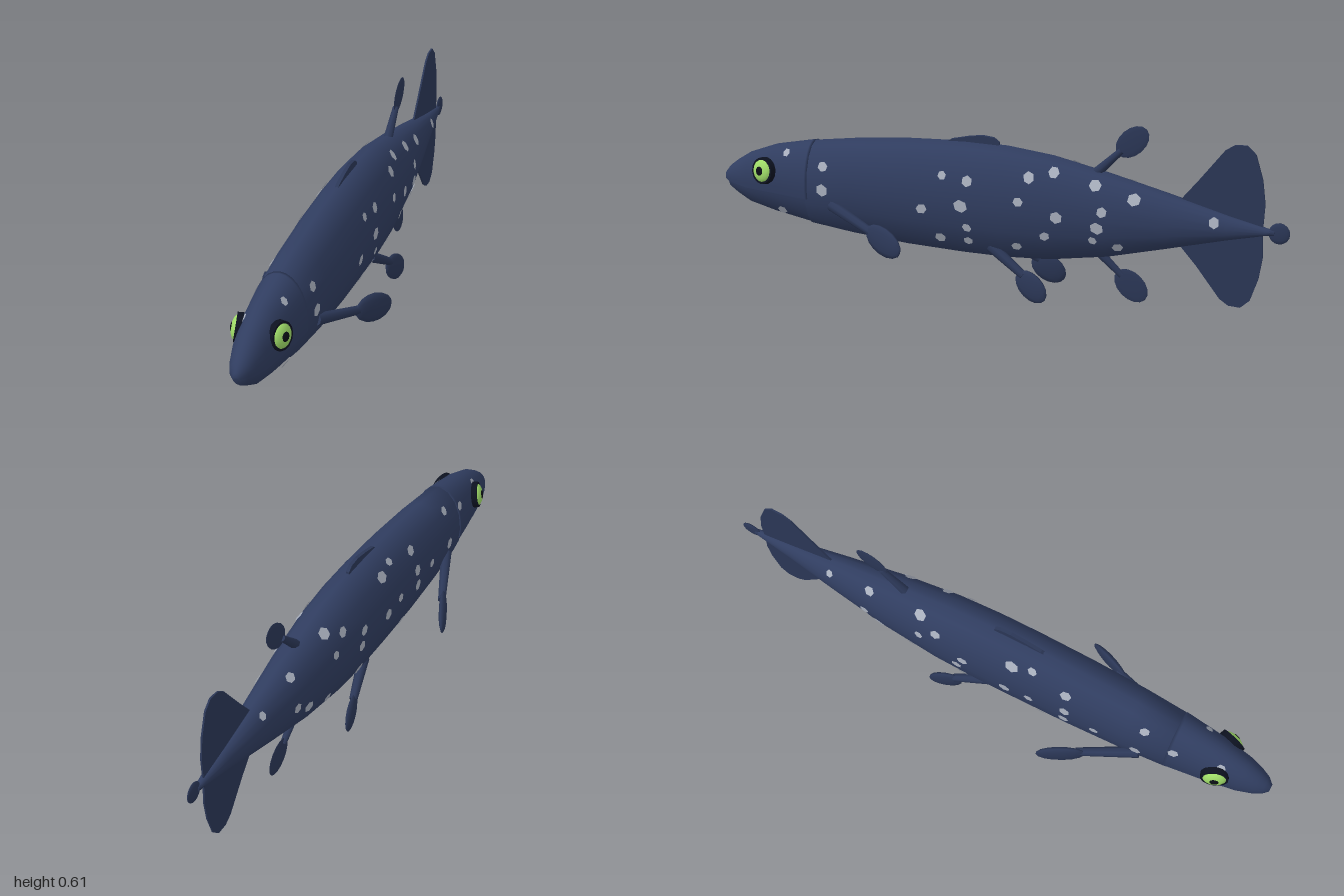
import * as THREE from 'three';

const mat = (color, side = THREE.FrontSide) => new THREE.MeshStandardMaterial({ color, side, roughness: 0.8 });
const SKIN = mat(0x303d60, THREE.DoubleSide);
const FIN = mat(0x2b3757, THREE.DoubleSide);
const SPOT = mat(0xa9b0be, THREE.DoubleSide);
const RIM = mat(0x0d1220);
const IRIS = mat(0x9fdc68);
const PUPIL = mat(0x0a0d14);

// Body stations: z, top y, bottom y, half width
const STATIONS = [
  [1.0, 0.31, 0.275, 0.012], [0.98, 0.335, 0.255, 0.03], [0.95, 0.358, 0.235, 0.043], [0.9, 0.39, 0.207, 0.057],
  [0.8, 0.428, 0.182, 0.073], [0.66, 0.457, 0.157, 0.088], [0.5, 0.48, 0.138, 0.098], [0.3, 0.5, 0.122, 0.104],
  [0.1, 0.51, 0.116, 0.106], [-0.05, 0.508, 0.116, 0.106], [-0.2, 0.492, 0.126, 0.102], [-0.4, 0.45, 0.16, 0.086],
  [-0.6, 0.402, 0.212, 0.06], [-0.8, 0.35, 0.266, 0.031], [-0.92, 0.322, 0.295, 0.014], [-0.95, 0.315, 0.3, 0.008],
];
const SIDES = 16;

function section(z) {
  let k = 0;
  while (k < STATIONS.length - 2 && z < STATIONS[k + 1][0]) k++;
  const [a, b] = [STATIONS[k], STATIONS[k + 1]];
  const t = (z - a[0]) / (b[0] - a[0]);
  const [top, bot, w] = [1, 2, 3].map(i => a[i] + (b[i] - a[i]) * t);
  return { c: (top + bot) / 2, h: (top - bot) / 2, w };
}

// Skin of elliptical sections from angle a0 to a1
function loft(zs, a0, a1, sx = 1, sy = 1) {
  const pos = [], idx = [], n = SIDES, row = n + 1;
  zs.forEach((z, k) => {
    const s = section(z);
    for (let i = 0; i <= n; i++) {
      const a = a0 + (a1 - a0) * i / n;
      pos.push(Math.cos(a) * s.w * sx, s.c + Math.sin(a) * s.h * sy, z);
      if (k && i < n) {
        const p = (k - 1) * row + i, q = p + row;
        idx.push(p, q, p + 1, p + 1, q, q + 1);
      }
    }
  });
  // end caps
  for (const k of [0, zs.length - 1]) {
    const c = pos.length / 3;
    pos.push(0, section(zs[k]).c, zs[k]);
    for (let i = 0; i < n; i++) {
      const p = k * row + i;
      k ? idx.push(c, p + 1, p) : idx.push(c, p, p + 1);
    }
  }
  const g = new THREE.BufferGeometry();
  g.setAttribute('position', new THREE.Float32BufferAttribute(pos, 3));
  g.setIndex(idx);
  g.computeVertexNormals();
  return g;
}

function add(parent, name, geometry, material) {
  const m = new THREE.Mesh(geometry, material);
  m.name = name;
  parent.add(m);
  return m;
}

// Fleshy fin: tapered stalk from root to tip, then a flattened paddle
function lobedFin(parent, name, root, tip, centre, size, r0, r1, flat) {
  const g = new THREE.Group();
  g.name = name;
  const [a, b, c] = [root, tip, centre].map(p => new THREE.Vector3(...p));
  const dir = b.clone().sub(a);
  const stalk = add(g, 'finStalk', new THREE.CylinderGeometry(r1, r0, dir.length(), 8), FIN);
  stalk.position.copy(a).add(b).multiplyScalar(0.5);
  stalk.quaternion.setFromUnitVectors(new THREE.Vector3(0, 1, 0), dir.clone().normalize());
  const paddle = add(g, 'finPaddle', new THREE.SphereGeometry(1, 10, 8), FIN);
  const along = c.clone().sub(a).normalize();
  const normal = new THREE.Vector3(...flat);
  normal.addScaledVector(along, -normal.dot(along)).normalize();
  paddle.quaternion.setFromRotationMatrix(
    new THREE.Matrix4().makeBasis(normal, along, normal.clone().cross(along)));
  paddle.scale.set(...size);
  paddle.position.copy(c);
  parent.add(g);
}

// Thin fin on the centre plane, outline given as [z, y]
function flatFin(parent, name, pts, depth) {
  const shape = new THREE.Shape(pts.map(([z, y]) => new THREE.Vector2(-z, y)));
  const g = new THREE.ExtrudeGeometry(shape, { depth, bevelEnabled: false });
  g.translate(0, 0, -depth / 2).rotateY(Math.PI / 2);
  add(parent, name, g, FIN);
}

// Irregular spot lying on the flank
function spot(parent, side, z, y, i) {
  const x = (zz, yy) => {
    const s = section(zz), t = (yy - s.c) / s.h;
    return s.w * Math.sqrt(Math.max(0.03, 1 - t * t));
  };
  const e = 0.004, px = x(z, y);
  const n = new THREE.Vector3(1, (x(z, y - e) - x(z, y + e)) / (2 * e), (x(z - e, y) - x(z + e, y)) / (2 * e));
  n.normalize();
  const m = add(parent, 'spot', new THREE.CircleGeometry(0.016 + 0.006 * ((i * 7) % 5) / 4, 6), SPOT);
  m.position.set(px, y, z).addScaledVector(n, 0.0025);
  m.position.x *= side;
  n.x *= side;
  m.lookAt(m.position.clone().add(n));
  m.rotateZ(i * 1.3);
  m.scale.x = 0.85 + 0.1 * (i % 4);
}

const LEFT_SPOTS = [
  [0.74, 0.415], [0.59, 0.39], [0.59, 0.31], [0.76, 0.21], [0.22, 0.29], [0.15, 0.41], [0.06, 0.4], [0.08, 0.315],
  [0.06, 0.24], [0.16, 0.19], [0.06, 0.19], [-0.15, 0.43], [-0.23, 0.45], [-0.12, 0.35], [-0.25, 0.31], [-0.21, 0.24],
  [-0.11, 0.19], [-0.37, 0.42], [-0.4, 0.34], [-0.385, 0.285], [-0.37, 0.24], [-0.45, 0.22], [-0.5, 0.385], [-0.76, 0.33],
];
const RIGHT_SPOTS = [
  [-0.63, 0.37], [-0.47, 0.41], [-0.27, 0.45], [-0.2, 0.42], [-0.09, 0.36], [-0.26, 0.37], [-0.11, 0.31], [0.08, 0.455],
  [0.15, 0.47], [0.28, 0.44], [0.4, 0.32], [0.29, 0.36], [0.29, 0.3], [0.16, 0.33], [0.07, 0.32], [0.56, 0.43],
  [0.67, 0.39], [0.55, 0.31], [-0.48, 0.305], [-0.42, 0.27], [0.83, 0.39], [0.2, 0.2], [-0.1, 0.2], [-0.3, 0.22],
];

export function createModel() {
  const fish = new THREE.Group();
  fish.name = 'fish';

  // Trunk, upper head and slightly narrower lower jaw
  const zs = STATIONS.map(s => s[0]);
  const full = [-Math.PI / 2, Math.PI * 1.5];
  add(fish, 'body', loft(zs.filter(z => z <= 0.66), ...full), SKIN);
  const headZ = zs.filter(z => z >= 0.66);
  add(fish, 'upperHead', loft([...headZ, 0.65], -0.26, Math.PI + 0.26, 1.01, 1.01), SKIN);
  add(fish, 'lowerJaw', loft([...headZ.slice(1), 0.6], ...full, 0.95, 0.98), SKIN);

  for (const side of [1, -1]) {
    // Bulging eye with dark rim
    const eye = new THREE.Group();
    eye.name = side > 0 ? 'leftEye' : 'rightEye';
    eye.position.set(side * 0.067, 0.348, 0.822);
    eye.lookAt(side * 1.067, 0.348 + 0.18, 0.822 + 0.33);
    const rim = add(eye, 'eyeRim', new THREE.CylinderGeometry(0.046, 0.048, 0.02, 14), RIM);
    rim.rotation.x = Math.PI / 2;
    const iris = add(eye, 'iris', new THREE.SphereGeometry(0.041, 16, 10), IRIS);
    iris.scale.z = 0.5;
    iris.position.z = 0.003;
    const pupil = add(eye, 'pupil', new THREE.SphereGeometry(0.017, 12, 8), PUPIL);
    pupil.scale.z = 0.4;
    pupil.position.z = 0.019;
    fish.add(eye);

    // Paired lobed fins
    lobedFin(fish, 'pectoralFin', [side * 0.08, 0.255, 0.56], [side * 0.16, 0.2, 0.37],
      [side * 0.187, 0.188, 0.325], [0.014, 0.085, 0.05], 0.02, 0.014, [side * 0.9, 0.1, 0.45]);
    lobedFin(fish, 'pelvicFin', [side * 0.057, 0.17, -0.01], [side * 0.086, 0.09, -0.135],
      [side * 0.095, 0.057, -0.165], [0.012, 0.066, 0.047], 0.02, 0.014, [1, 0, side * 0.15]);

    (side > 0 ? LEFT_SPOTS : RIGHT_SPOTS).forEach(([z, y], i) => spot(fish, side, z, y, i));
  }

  // Unpaired lobed fins
  lobedFin(fish, 'analFin', [0, 0.2, -0.34], [0, 0.1, -0.45], [0, 0.068, -0.482], [0.004, 0.066, 0.049], 0.018, 0.011, [1, 0, 0]);
  lobedFin(fish, 'secondDorsalFin', [0, 0.43, -0.34], [0, 0.53, -0.44], [0, 0.562, -0.475], [0.004, 0.066, 0.045], 0.018, 0.011, [1, 0, 0]);

  // Low front dorsal fin
  flatFin(fish, 'firstDorsalFin', [[0.18, 0.49], [0.15, 0.512], [0.09, 0.526], [0.04, 0.534], [0, 0.53], [-0.02, 0.515], [-0.02, 0.49]], 0.012);

  // Tail fan and end lobe
  flatFin(fish, 'upperTailFin', [[-0.62, 0.36], [-0.7, 0.46], [-0.78, 0.565], [-0.81, 0.585], [-0.85, 0.588],
    [-0.88, 0.56], [-0.905, 0.48], [-0.916, 0.4], [-0.912, 0.308]], 0.006);
  flatFin(fish, 'lowerTailFin', [[-0.62, 0.255], [-0.7, 0.165], [-0.78, 0.062], [-0.81, 0.042], [-0.85, 0.04],
    [-0.88, 0.068], [-0.905, 0.145], [-0.916, 0.22], [-0.912, 0.308]], 0.006);
  lobedFin(fish, 'tailLobe', [0, 0.308, -0.86], [0, 0.307, -0.95], [0, 0.307, -0.965], [0.007, 0.035, 0.037], 0.02, 0.01, [1, 0, 0]);

  return fish;
}
